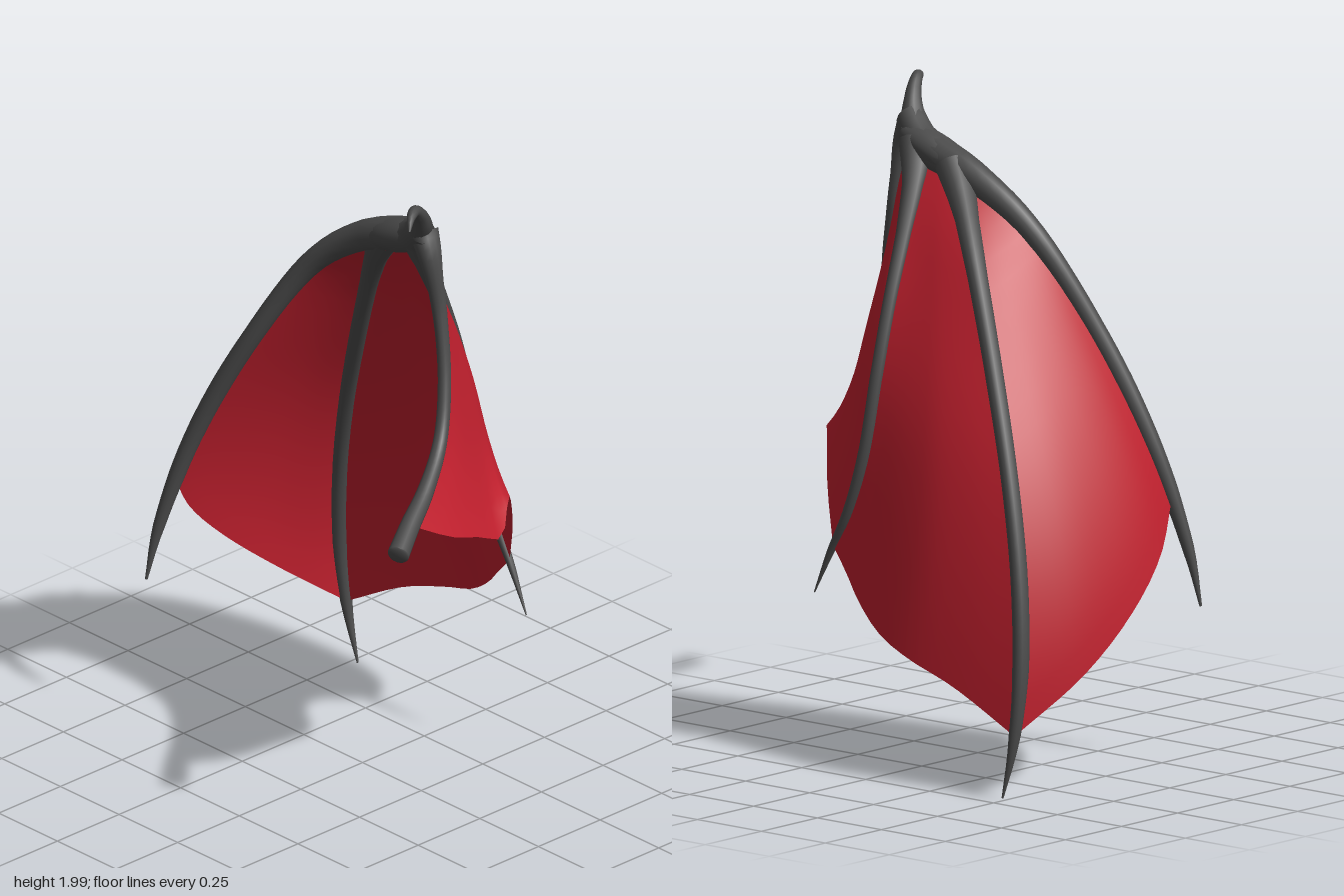
import * as THREE from 'three';

const bone = new THREE.MeshStandardMaterial({ color: 0x4b4b4b });
bone.name = 'charcoalBone';
const skin = new THREE.MeshStandardMaterial({ color: 0xbf1f2d, side: THREE.DoubleSide });
skin.name = 'redMembrane';

const V = ([x, y, z]) => new THREE.Vector3(x, y, z);
const curveOf = (pts) => new THREE.CatmullRomCurve3(pts.map(V), false, 'centripetal');

// Linear interpolation along evenly spaced radii
function radiusAt(radii, t) {
  const f = Math.min(t, 0.99999) * (radii.length - 1), i = Math.floor(f);
  return THREE.MathUtils.lerp(radii[i], radii[i + 1], f - i);
}

// Tube whose rings are scaled to a tapering radius
function taperedTube(name, curve, radii, segments = 40, sides = 12) {
  const geo = new THREE.TubeGeometry(curve, segments, 1, sides, false);
  const pos = geo.attributes.position, p = new THREE.Vector3();
  for (let i = 0; i <= segments; i++) {
    const c = curve.getPointAt(i / segments), r = radiusAt(radii, i / segments);
    for (let j = 0; j <= sides; j++) {
      const k = i * (sides + 1) + j;
      p.fromBufferAttribute(pos, k).sub(c).multiplyScalar(r).add(c);
      pos.setXYZ(k, p.x, p.y, p.z);
    }
  }
  const mesh = new THREE.Mesh(geo, bone);
  mesh.name = name;
  return mesh;
}

// Arc-length parameter at which a descending curve reaches height y
function paramAtHeight(curve, y) {
  let lo = 0, hi = 1;
  for (let i = 0; i < 24; i++) {
    const mid = (lo + hi) / 2;
    if (curve.getPointAt(mid).y > y) lo = mid; else hi = mid;
  }
  return lo;
}

// Skin stretched between two bones, billowing towards a scalloped lower edge
function membrane(name, a, aRange, b, bRange, edgePts, power) {
  const cols = 16, rows = 18;
  const [a0, a1] = aRange.map((y) => paramAtHeight(a, y));
  const [b0, b1] = bRange.map((y) => paramAtHeight(b, y));
  const aEnd = a.getPointAt(a1), bEnd = b.getPointAt(b1);
  const edge = curveOf([aEnd.toArray(), ...edgePts, bEnd.toArray()]);
  const geo = new THREE.PlaneGeometry(1, 1, cols, rows);
  for (let r = 0; r <= rows; r++) {
    const v = r / rows;
    const pa = a.getPointAt(THREE.MathUtils.lerp(a0, a1, v));
    const pb = b.getPointAt(THREE.MathUtils.lerp(b0, b1, v));
    for (let c = 0; c <= cols; c++) {
      const u = c / cols;
      const bulge = edge.getPointAt(u).sub(aEnd.clone().lerp(bEnd, u));
      const p = pa.clone().lerp(pb, u).addScaledVector(bulge, v ** power);
      geo.attributes.position.setXYZ(r * (cols + 1) + c, p.x, p.y, p.z);
    }
  }
  geo.computeVertexNormals();
  const mesh = new THREE.Mesh(geo, skin);
  mesh.name = name;
  return mesh;
}

export function createModel() {
  const wing = new THREE.Group();
  wing.name = 'wing';

  // Bone centre lines, each running from the wrist downwards
  const arm = curveOf([[0.26, 1.86, 0], [0.29, 1.8, 0.005], [0.32, 1.6, -0.01], [0.365, 1.4, 0.015],
    [0.415, 1.25, 0.08], [0.49, 1.16, 0.21], [0.55, 1.11, 0.33], [0.605, 1.07, 0.43]]);
  const outer = curveOf([[0.28, 1.88, 0.02], [0.2, 1.82, -0.015], [0, 1.745, -0.02], [-0.18, 1.61, 0.02],
    [-0.365, 1.3, 0.12], [-0.515, 0.96, 0.2], [-0.595, 0.65, 0.265], [-0.615, 0.49, 0.292]]);
  const middle = curveOf([[0.07, 1.77, -0.03], [0, 1.69, -0.07], [-0.13, 1.52, -0.16], [-0.28, 1.24, -0.25],
    [-0.42, 0.93, -0.335], [-0.5, 0.65, -0.385], [-0.53, 0.38, -0.415], [-0.515, 0.17, -0.43], [-0.478, 0.01, -0.435]]);
  const inner = curveOf([[0.22, 1.82, -0.02], [0.185, 1.73, -0.07], [0.155, 1.58, -0.15], [0.132, 1.39, -0.24],
    [0.125, 1.18, -0.305], [0.145, 0.94, -0.34], [0.2, 0.76, -0.35], [0.27, 0.635, -0.347], [0.338, 0.5, -0.343]]);
  const claw = curveOf([[0.2, 1.81, -0.02], [0.265, 1.88, 0.015], [0.3, 1.945, 0.055], [0.325, 1.982, 0.1],
    [0.343, 1.975, 0.13], [0.36, 1.945, 0.152]]);

  wing.add(
    taperedTube('armBone', arm, [0.045, 0.026, 0.021, 0.02, 0.021, 0.024, 0.029, 0.033]),
    taperedTube('outerFinger', outer, [0.045, 0.055, 0.045, 0.036, 0.032, 0.03, 0.03, 0.028, 0.025, 0.018, 0.004]),
    taperedTube('middleFinger', middle, [0.055, 0.036, 0.03, 0.028, 0.027, 0.026, 0.026, 0.026, 0.025, 0.018, 0.003]),
    taperedTube('innerFinger', inner, [0.055, 0.034, 0.025, 0.022, 0.021, 0.021, 0.021, 0.02, 0.017, 0.011, 0.002]),
    taperedTube('wristClaw', claw, [0.05, 0.046, 0.036, 0.026, 0.02, 0.015, 0.003], 24),
  );

  // Rounded end of the arm at the shoulder
  const cap = new THREE.Mesh(new THREE.SphereGeometry(0.033, 12, 8), bone);
  cap.name = 'shoulderCap';
  cap.position.copy(arm.getPointAt(1));
  cap.scale.z = 0.3;
  cap.quaternion.setFromUnitVectors(new THREE.Vector3(0, 0, 1), arm.getTangentAt(1));
  wing.add(cap);

  // Knuckle mass where the fingers meet
  const knuckle = new THREE.Mesh(new THREE.SphereGeometry(1, 20, 14), bone);
  knuckle.name = 'knuckle';
  knuckle.position.set(0.14, 1.8, -0.02);
  knuckle.scale.set(0.15, 0.05, 0.058);
  knuckle.rotation.z = 0.37;
  wing.add(knuckle);

  // Three skin panels
  wing.add(
    membrane('outerMembrane', outer, [1.72, 0.82], middle, [1.72, 0.2],
      [[-0.61, 0.67, 0.12], [-0.628, 0.52, -0.03], [-0.605, 0.36, -0.22]], 1.3),
    membrane('middleMembrane', middle, [1.75, 0.2], inner, [1.79, 0.65],
      [[-0.3, 0.32, -0.45], [-0.12, 0.385, -0.455], [0.01, 0.435, -0.43], [0.12, 0.51, -0.395], [0.2, 0.59, -0.365]], 1.3),
    membrane('innerMembrane', inner, [1.79, 0.65], arm, [1.84, 1.11],
      [[0.325, 0.81, -0.3], [0.38, 0.93, -0.24], [0.42, 0.973, -0.195], [0.46, 0.95, -0.145],
        [0.498, 0.905, -0.095], [0.535, 0.965, 0.04], [0.56, 1.02, 0.17]], 1.6),
  );
  return wing;
}
